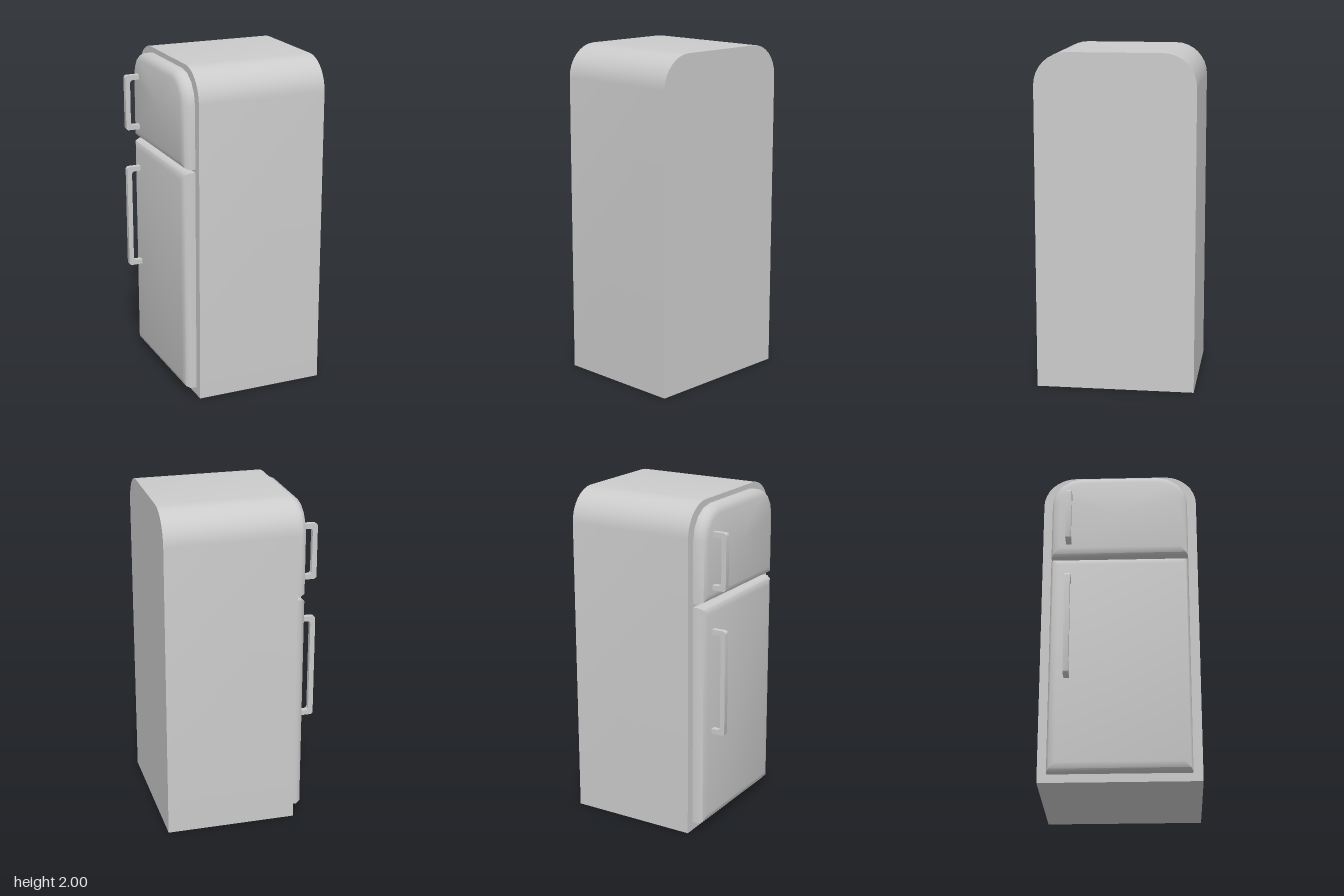
import * as THREE from 'three';
import { toCreasedNormals } from 'three/addons/utils/BufferGeometryUtils.js';

const material = new THREE.MeshStandardMaterial({ color: 0xcccccc });
const BODY_FRONT = -0.315; // the doors face -x

function part(name, geometry, crease) {
  const mesh = new THREE.Mesh(toCreasedNormals(geometry, crease), material);
  mesh.name = name;
  return mesh;
}

// Cabinet: arched cross-section extruded along x
function cabinet() {
  const w = 0.47, h = 2, r = 0.193;
  const shape = new THREE.Shape();
  shape.moveTo(-w, 0);
  shape.lineTo(w, 0);
  shape.lineTo(w, h - r);
  shape.absarc(w - r, h - r, r, 0, Math.PI / 2);
  shape.lineTo(-w + r, h);
  shape.absarc(-w + r, h - r, r, Math.PI / 2, Math.PI);
  const g = new THREE.ExtrudeGeometry(shape, { depth: 0.788, bevelEnabled: false, curveSegments: 4 });
  g.rotateY(Math.PI / 2).translate(BODY_FRONT, 0, 0);
  return part('cabinet', g, 0.7);
}

// Door outline in (z, y), inset evenly; top corners rounded when r > 0
function doorLoop(y0, y1, r, inset) {
  const w = 0.414, steps = 4;
  const pts = [[-w + inset, y0 + inset], [w - inset, y0 + inset]];
  if (r === 0) return [...pts, [w - inset, y1 - inset], [-w + inset, y1 - inset]];
  for (const side of [0, 1]) {
    const cz = side ? -w + r : w - r;
    for (let i = 0; i <= steps; i++) {
      const a = (side + i / steps) * Math.PI / 2;
      pts.push([cz + (r - inset) * Math.cos(a), y1 - r + (r - inset) * Math.sin(a)]);
    }
  }
  return pts;
}

// Door: stacked outlines form a softly rolled edge, closed by a flat front
function door(name, y0, y1, r) {
  const profile = [[0, 0], [0.035, 0], [0.062, 0.013], [0.073, 0.048]]; // depth, inset
  const pos = [], index = [];
  let n = 0;
  for (const [depth, inset] of profile) {
    const loop = doorLoop(y0, y1, r, inset);
    n = loop.length;
    for (const [z, y] of loop) pos.push(BODY_FRONT - depth, y, z);
  }
  const last = (profile.length - 1) * n, centre = profile.length * n;
  pos.push(BODY_FRONT - 0.073, (y0 + y1) / 2, 0);
  for (let i = 0; i < n; i++) {
    const j = (i + 1) % n;
    for (let k = 0; k < last; k += n) index.push(k + i, k + j, k + n + j, k + i, k + n + j, k + n + i);
    index.push(last + i, last + j, centre);
  }
  const g = new THREE.BufferGeometry();
  g.setAttribute('position', new THREE.Float32BufferAttribute(pos, 3));
  g.setIndex(index);
  return part(name, g, 0.95);
}

// Handle: C-shaped bar with rounded corners, extruded across z
function handle(name, y0, y1) {
  const root = -0.386, out = -0.475, t = 0.03, r = 0.02;
  const s = new THREE.Shape();
  s.moveTo(root, y0);
  s.lineTo(root, y0 + t);
  s.lineTo(out + t + r, y0 + t);
  s.quadraticCurveTo(out + t, y0 + t, out + t, y0 + t + r);
  s.lineTo(out + t, y1 - t - r);
  s.quadraticCurveTo(out + t, y1 - t, out + t + r, y1 - t);
  s.lineTo(root, y1 - t);
  s.lineTo(root, y1);
  s.lineTo(out + r, y1);
  s.quadraticCurveTo(out, y1, out, y1 - r);
  s.lineTo(out, y0 + r);
  s.quadraticCurveTo(out, y0, out + r, y0);
  const g = new THREE.ExtrudeGeometry(s, { depth: 0.033, bevelEnabled: false, curveSegments: 4 });
  g.translate(0, 0, -0.323);
  return part(name, g, 0.7);
}

export function createModel() {
  const group = new THREE.Group();
  group.name = 'refrigerator';
  group.add(
    cabinet(),
    door('freezerDoor', 1.42, 1.97, 0.18),
    door('mainDoor', 0.05, 1.4, 0),
    handle('freezerHandle', 1.49, 1.83),
    handle('mainHandle', 0.61, 1.255),
  );
  return group;
}
